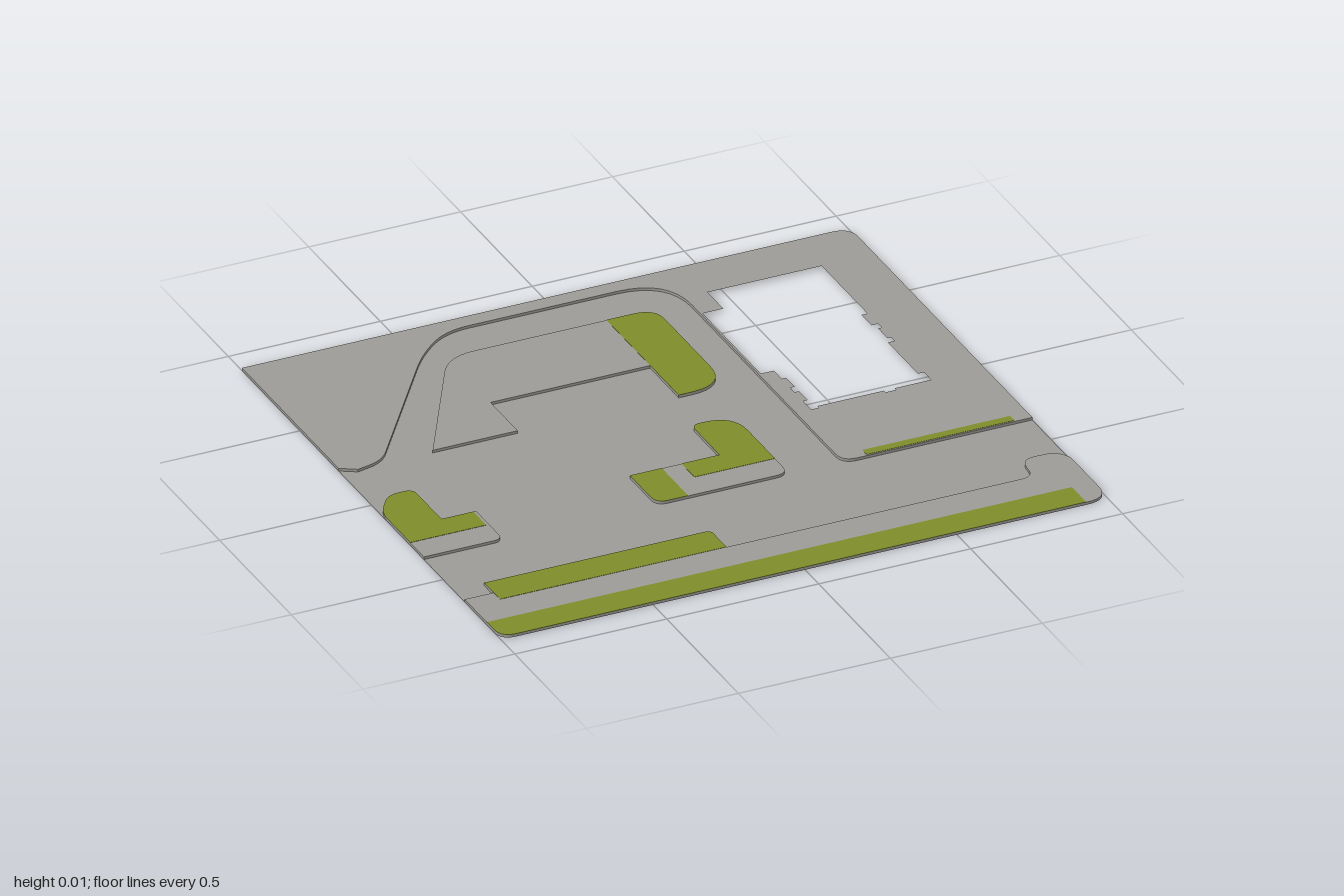
import * as THREE from 'three';

const H = 0.009; // kerb height

const paving = new THREE.MeshStandardMaterial({ color: 0x9d9b96, side: THREE.DoubleSide });
paving.name = 'paving grey';
const grass = new THREE.MeshStandardMaterial({ color: 0x7e8d2a, side: THREE.DoubleSide });
grass.name = 'grass green';

// Outline from [x, z, cornerRadius] points
function outline(pts) {
  const shape = new THREE.Shape();
  const n = pts.length;
  const v = pts.map(p => new THREE.Vector2(p[0], -p[1]));
  for (let i = 0; i < n; i++) {
    const r = pts[i][2] || 0;
    const c = v[i];
    const toward = q => c.clone().add(q.clone().sub(c).setLength(r));
    const a = r ? toward(v[(i + n - 1) % n]) : c;
    if (i === 0) shape.moveTo(a.x, a.y);
    else shape.lineTo(a.x, a.y);
    if (r) {
      const b = toward(v[(i + 1) % n]);
      shape.quadraticCurveTo(c.x, c.y, b.x, b.y);
    }
  }
  shape.closePath();
  return shape;
}

function flat(name, shape, y, material) {
  const geo = new THREE.ShapeGeometry(shape, 8).rotateX(-Math.PI / 2).translate(0, y, 0);
  const mesh = new THREE.Mesh(geo, material);
  mesh.name = name;
  return mesh;
}

// Vertical kerb faces round an outline
function kerb(name, shape) {
  let pts = shape.getPoints(8);
  if (THREE.ShapeUtils.isClockWise(pts)) pts = pts.reverse();
  const pos = [];
  pts.forEach((a, i) => {
    const b = pts[(i + 1) % pts.length];
    if (a.distanceTo(b) < 1e-5) return;
    pos.push(a.x, 0, -a.y, b.x, 0, -b.y, b.x, H, -b.y);
    pos.push(a.x, 0, -a.y, b.x, H, -b.y, a.x, H, -a.y);
  });
  const geo = new THREE.BufferGeometry();
  geo.setAttribute('position', new THREE.Float32BufferAttribute(pos, 3));
  geo.computeVertexNormals();
  const mesh = new THREE.Mesh(geo, paving);
  mesh.name = name;
  return mesh;
}

// Raised pavement: top surface with kerb faces
function pavement(name, pts, hole) {
  const group = new THREE.Group();
  group.name = name;
  const shape = outline(pts);
  group.add(kerb(name + 'Kerb', shape));
  if (hole) shape.holes.push(outline(hole));
  group.add(flat(name + 'Top', shape, H, paving));
  return group;
}

// Thin lawn plate, seen from above and below
function lawn(name, pts) {
  const geo = new THREE.ExtrudeGeometry(outline(pts), { depth: 0.002, bevelEnabled: false, curveSegments: 8 });
  const mesh = new THREE.Mesh(geo.rotateX(-Math.PI / 2).translate(0, H - 0.001, 0), grass);
  mesh.name = name;
  return mesh;
}

const rect = (x0, x1, z0, z1) => [[x0, z0], [x1, z0], [x1, z1], [x0, z1]];

// Kerb lines shared by the road and the pavements
const backKerb = [[-1, -0.23], [-0.95, -0.2], [-0.86, -0.22, 0.05], [-0.48, -0.75, 0.08],
  [-0.36, -0.85, 0.08], [0.375, -0.85, 0.17], [0.375, 0.37, 0.05], [1, 0.37]];
const frontKerb = [[-1, 0.65], [-0.905, 0.65], [-0.905, 0.585], [-0.16, 0.585, 0.02], [-0.16, 0.695],
  [0.85, 0.695, 0.04], [0.86, 0.585, 0.05], [0.98, 0.59, 0.04], [1, 0.64]];
const sideIsland = [[-1, 0.365], [-0.74, 0.365, 0.03], [-0.74, 0.18], [-0.855, 0.18],
  [-0.855, -0.02, 0.03], [-0.94, -0.02, 0.04], [-1, 0.07, 0.04], [-1, 0.1]];
const backIsland = [[-0.7, -0.21], [-0.42, -0.21], [-0.42, -0.4], [0.105, -0.4], [0.105, -0.2],
  [0.265, -0.2, 0.12], [0.265, -0.705, 0.07], [-0.42, -0.705, 0.09]];
const middleIsland = [[-0.235, 0.18], [0.06, 0.18], [0.06, -0.02, 0.03], [0.2, -0.02, 0.1],
  [0.2, 0.365, 0.04], [-0.235, 0.365, 0.04]];

// Opening left for a building footprint
const footprint = [[0.45, -0.73], [0.825, -0.73], [0.825, -0.41], [0.805, -0.41], [0.805, -0.34],
  [0.827, -0.34], [0.827, -0.315], [0.815, -0.315], [0.815, -0.25], [0.827, -0.25], [0.827, -0.225],
  [0.805, -0.225], [0.805, -0.015], [0.825, -0.015], [0.825, 0.035], [0.705, 0.035], [0.705, 0.046],
  [0.67, 0.046], [0.67, 0.035], [0.45, 0.035], [0.45, 0.046], [0.425, 0.046], [0.425, -0.01],
  [0.44, -0.01], [0.44, -0.07], [0.425, -0.07], [0.425, -0.1], [0.44, -0.1], [0.44, -0.16],
  [0.425, -0.16], [0.425, -0.215], [0.382, -0.215], [0.382, -0.62], [0.45, -0.62]];

export function createModel() {
  const model = new THREE.Group();
  model.name = 'streetBlock';

  // Road surface at ground level
  const road = outline([...backKerb, ...[...frontKerb].reverse(), ...sideIsland]);
  road.holes.push(outline(backIsland), outline(middleIsland));
  model.add(flat('road', road, 0, paving));

  // Raised pavements
  model.add(
    pavement('backPavement', [...backKerb, [1, -0.905, 0.06], [-1, -0.905]], footprint),
    pavement('frontPavement', [...frontKerb, [1, 0.905, 0.07], [-1, 0.905, 0.05]]),
    pavement('sideIsland', sideIsland),
    pavement('backIsland', backIsland),
    pavement('middleIsland', middleIsland));

  // Lawns
  model.add(
    lawn('frontLawn', [[-1, 0.805], [0.925, 0.805], [0.925, 0.905], [-1, 0.905, 0.05]]),
    lawn('frontKerbLawn', [[-0.905, 0.585], [-0.16, 0.585, 0.02], [-0.16, 0.695], [-0.905, 0.695]]),
    lawn('narrowLawn', rect(0.457, 0.943, 0.335, 0.365)),
    lawn('backLawn', [[0.105, -0.2], [0.265, -0.2, 0.12], [0.265, -0.705, 0.07], [0.105, -0.705]]),
    lawn('middleSmallLawn', [[-0.235, 0.18], [-0.13, 0.18], [-0.13, 0.365], [-0.235, 0.365, 0.04]]),
    lawn('middleCornerLawn', [[-0.065, 0.18], [0.06, 0.18], [0.06, -0.02, 0.03], [0.2, -0.02, 0.1],
      [0.2, 0.27], [-0.065, 0.27]]),
    lawn('sideCornerLawn', [[-1, 0.27], [-0.75, 0.27], [-0.75, 0.18], [-0.855, 0.18],
      [-0.855, -0.02, 0.03], [-0.94, -0.02, 0.04], [-1, 0.07, 0.04]]));

  return model;
}
